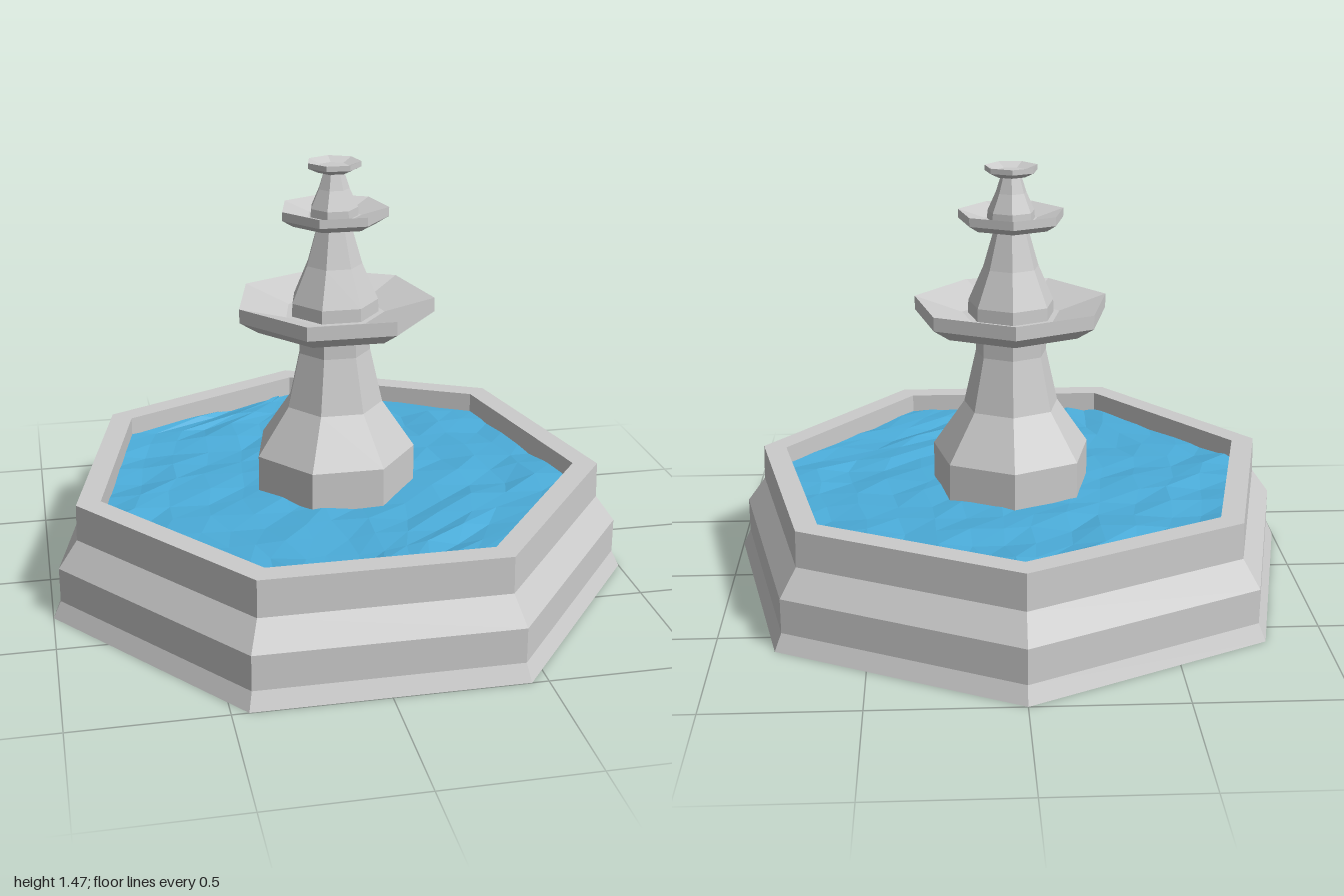
import * as THREE from 'three';

const SIDES = 7;
const CENTRE_Z = 0.052;
const stone = new THREE.MeshStandardMaterial({ color: 0xcccccc, flatShading: true });
const waterMat = new THREE.MeshStandardMaterial({ color: 0x4bacd9, flatShading: true, side: THREE.DoubleSide });

// Seven-sided turned part with one corner pointing to the back.
// Profile is [half width, y]; half widths are converted to corner radii.
const toRadius = 1 / Math.sin((3 * 2 * Math.PI) / SIDES + Math.PI / 2 - Math.PI / 2 - (2 * Math.PI) / SIDES);
function turned(name, profile) {
  const points = profile.map(([w, y]) => new THREE.Vector2(w * toRadius, y));
  const mesh = new THREE.Mesh(new THREE.LatheGeometry(points, SIDES, Math.PI), stone);
  mesh.name = name;
  return mesh;
}

// Rippled water: rows of patches, each row as wide as the basin at that depth.
function makeWater(scale, level) {
  const rx = 1.0257 * scale, rz = 1.052 * scale, rows = 15, cols = 13;
  const corners = [0, 1, 2, 3].map((i) => {
    const a = (i * 2 * Math.PI) / SIDES;
    return [rx * Math.sin(a), -rz * Math.cos(a)];
  });
  const halfWidth = (z) => {
    for (let i = 0; i < 3; i++) {
      const [x0, z0] = corners[i], [x1, z1] = corners[i + 1];
      if (z <= z1 + 1e-6) return x0 + ((x1 - x0) * (z - z0)) / (z1 - z0);
    }
    return corners[3][0];
  };
  let seed = 11;
  const random = () => (seed = (seed * 16807) % 2147483647) / 2147483647;

  const geo = new THREE.PlaneGeometry(2, 1, cols, rows).rotateX(-Math.PI / 2);
  const pos = geo.attributes.position;
  const zBack = -rz, zFront = corners[3][1];
  for (let i = 0; i < pos.count; i++) {
    const z = zBack + (zFront - zBack) * (pos.getZ(i) + 0.5);
    const inside = Math.abs(pos.getX(i)) < 0.99 && Math.abs(pos.getZ(i)) < 0.49;
    const jitter = inside ? (random() - 0.5) * 0.03 : 0;
    pos.setXYZ(i, pos.getX(i) * halfWidth(z) + jitter, level + (random() - 0.5) * 0.022, z + jitter);
  }
  geo.computeVertexNormals();
  const mesh = new THREE.Mesh(geo, waterMat);
  mesh.name = 'water';
  mesh.position.z = CENTRE_Z;
  return mesh;
}

export function createModel() {
  const model = new THREE.Group();
  model.name = 'fountain';

  // Basin: stepped outer wall, flat rim, inner wall and floor
  const basin = turned('basin', [
    [0, 0], [1, 0], [0.973, 0.058], [0.973, 0.178], [0.908, 0.27], [0.905, 0.395],
    [0.822, 0.395], [0.822, 0.22], [0, 0.22],
  ]);
  basin.scale.z = 1.052 / 1.0257;
  basin.position.z = CENTRE_Z;
  model.add(basin, makeWater(0.86, 0.325));

  // Three tiers, each a flared column carrying a shallow bowl
  const tiers = new THREE.Group();
  tiers.name = 'tiers';
  tiers.position.set(0.005, 0, 0.05);
  tiers.add(
    turned('lowerColumn', [[0.275, 0.22], [0.275, 0.455], [0.165, 0.62], [0.123, 0.81], [0.123, 0.9]]),
    turned('lowerBowl', [
      [0, 0.872], [0.13, 0.872], [0.27, 0.904], [0.335, 0.947], [0.335, 0.995], [0.17, 0.945], [0, 0.945],
    ]),
    turned('middleColumn', [[0.15, 0.93], [0.148, 0.99], [0.095, 1.115], [0.06, 1.24], [0.06, 1.26]]),
    turned('middleBowl', [
      [0, 1.246], [0.09, 1.246], [0.145, 1.257], [0.181, 1.28], [0.181, 1.31], [0.09, 1.282], [0, 1.282],
    ]),
    turned('upperColumn', [[0.083, 1.27], [0.08, 1.31], [0.052, 1.374], [0.033, 1.435]]),
    turned('upperBowl', [
      [0, 1.43], [0.055, 1.43], [0.09, 1.447], [0.09, 1.465], [0.05, 1.45], [0, 1.45],
    ]),
  );
  model.add(tiers);
  return model;
}
